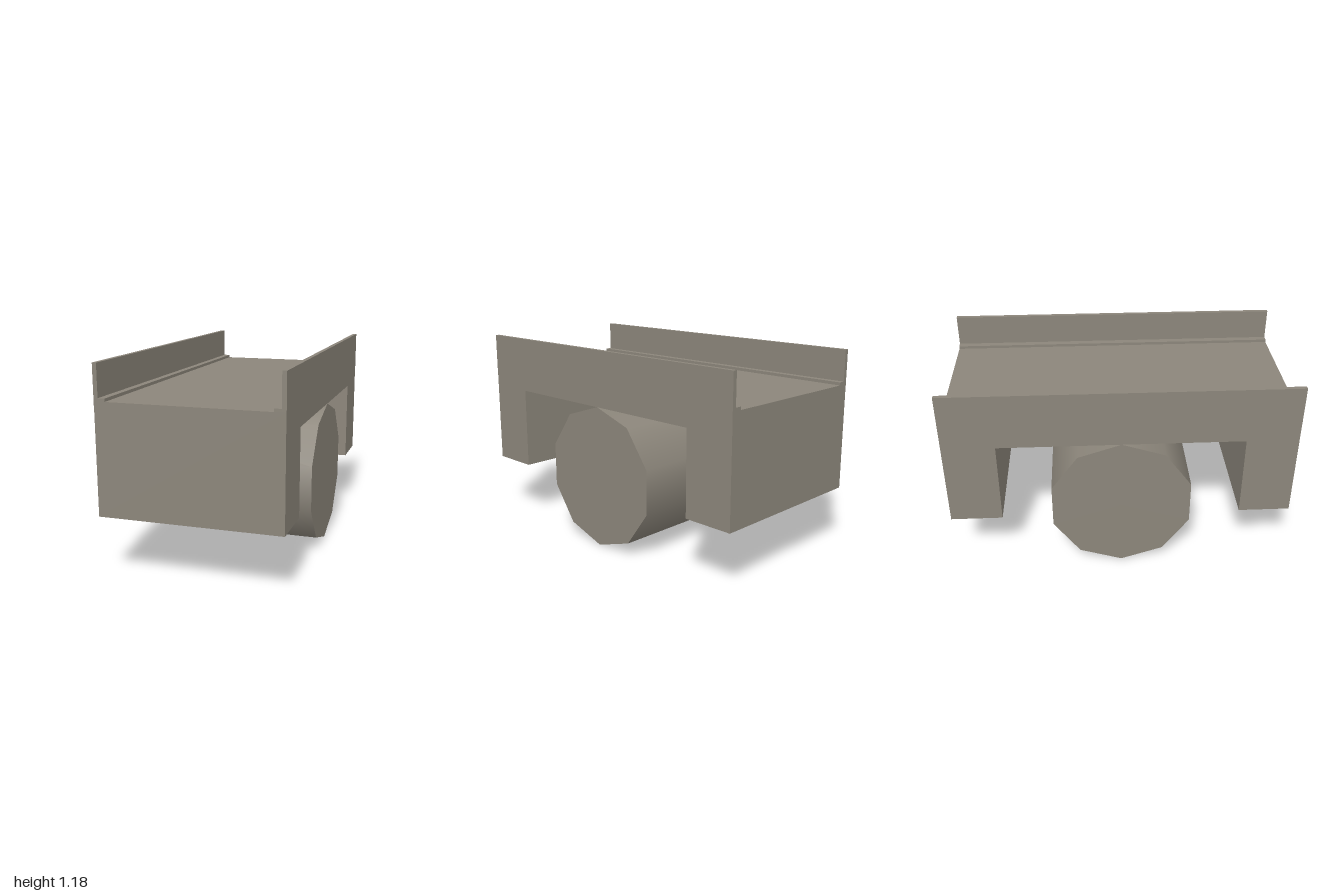
import * as THREE from 'three';

export function createModel() {
  const model = new THREE.Group();
  const stone = new THREE.MeshStandardMaterial({ color: 0x8c867b });
  stone.name = 'warm grey';

  const add = (name, geometry, x = 0, y = 0, z = 0) => {
    const mesh = new THREE.Mesh(geometry, stone);
    mesh.name = name;
    mesh.position.set(x, y, z);
    model.add(mesh);
  };

  // Deck with a leg at each end: side outline (z, y) extruded across the width
  const width = 1.024;
  const outline = new THREE.Shape([
    [-1, 0.355], [-0.7, 0.355], [-0.7, 0.85], [0.7, 0.85],
    [0.7, 0.355], [1, 0.355], [1, 0.98], [-1, 0.98],
  ].map(([z, y]) => new THREE.Vector2(z, y)));
  const deck = new THREE.ExtrudeGeometry(outline, { depth: width, bevelEnabled: false });
  deck.translate(0, 0, -width / 2).rotateY(Math.PI / 2);
  add('deck', deck);

  // Parapet and low kerb along both sides
  for (const [side, s] of [['left', 1], ['right', -1]]) {
    add(`${side}Parapet`, new THREE.BoxGeometry(0.024, 0.23, 2), s * 0.501, 1.066, 0);
    add(`${side}Kerb`, new THREE.BoxGeometry(0.04, 0.045, 2), s * 0.47, 0.975, 0);
  }

  // Ten-sided drum under the deck, corner up, with smooth sides and flat ends
  const drum = new THREE.CylinderGeometry(0.425, 0.425, width, 10, 1, false, Math.PI / 2);
  drum.rotateZ(Math.PI / 2);
  add('drum', drum, 0, 0.425, 0);

  return model;
}
